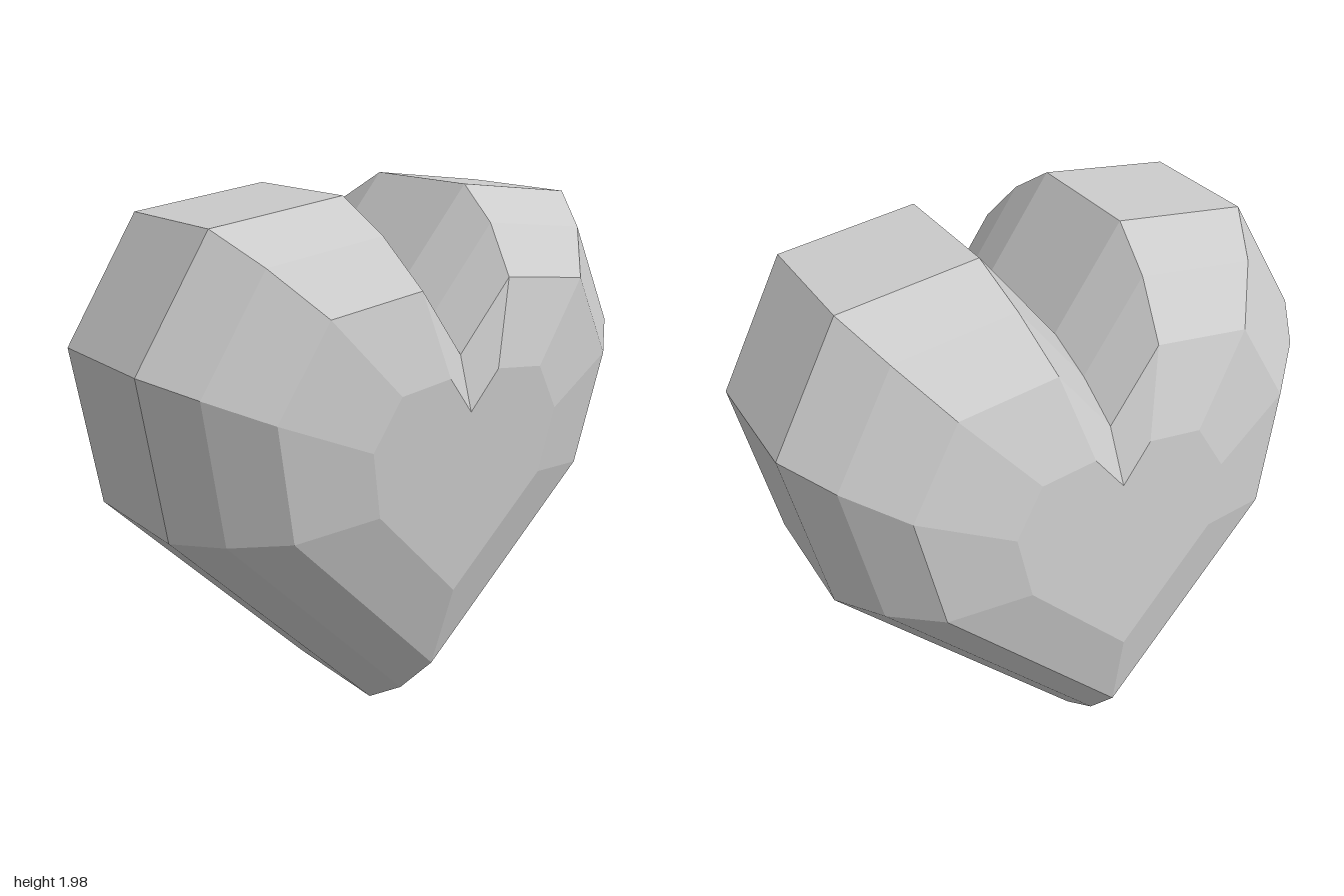
import * as THREE from 'three';

// Right half of the heart outline, from the bottom tip up to the outer peak
const HALF = [[0.89, 0.92], [1, 1.5], [0.75, 1.92], [0.26, 1.98]];
const TIP = [0, 0];
const NOTCH = [0, 1.65];
const CENTRE_Y = 1.07; // the outline shrinks towards this height

// Bevel steps from front cap to rim: [outline scale, half depth]
const STEPS = [[0.4, 0.635], [0.71, 0.56], [0.88, 0.405], [1, 0.23]];

export function createModel() {
  const mirrored = HALF.map(([x, y]) => [-x, y]).reverse();
  const outline = [TIP, ...HALF, NOTCH, ...mirrored]; // counter-clockwise from the front
  const n = outline.length;

  // Cross-sections from front to back, leaning forward slightly with height
  const steps = [...STEPS, ...STEPS.map(([s, d]) => [s, -d]).reverse()];
  const rings = steps.map(([s, d]) => outline.map(([x, y]) => {
    const h = CENTRE_Y + (y - CENTRE_Y) * s;
    return [x * s, h, d - 0.09 + 0.0868 * h];
  }));

  const positions = [];
  const tri = (a, b, c) => positions.push(...a, ...b, ...c);

  // Bevels and rim
  for (let r = 0; r < rings.length - 1; r++) {
    for (let j = 0; j < n; j++) {
      const k = (j + 1) % n;
      const a = rings[r][j], b = rings[r][k];
      const c = rings[r + 1][k], d = rings[r + 1][j];
      tri(a, d, c);
      tri(a, c, b);
    }
  }

  // Front and back caps
  const front = rings[0], back = rings[rings.length - 1];
  const contour = outline.map(([x, y]) => new THREE.Vector2(x, y));
  for (const [a, b, c] of THREE.ShapeUtils.triangulateShape(contour, [])) {
    tri(front[a], front[b], front[c]);
    tri(back[a], back[c], back[b]);
  }

  const geometry = new THREE.BufferGeometry();
  geometry.setAttribute('position', new THREE.Float32BufferAttribute(positions, 3));
  geometry.computeVertexNormals();

  const heart = new THREE.Mesh(
    geometry,
    new THREE.MeshStandardMaterial({ color: 0xcccccc, flatShading: true })
  );
  heart.name = 'heart';

  const group = new THREE.Group();
  group.name = 'facetedHeart';
  group.add(heart);
  return group;
}
